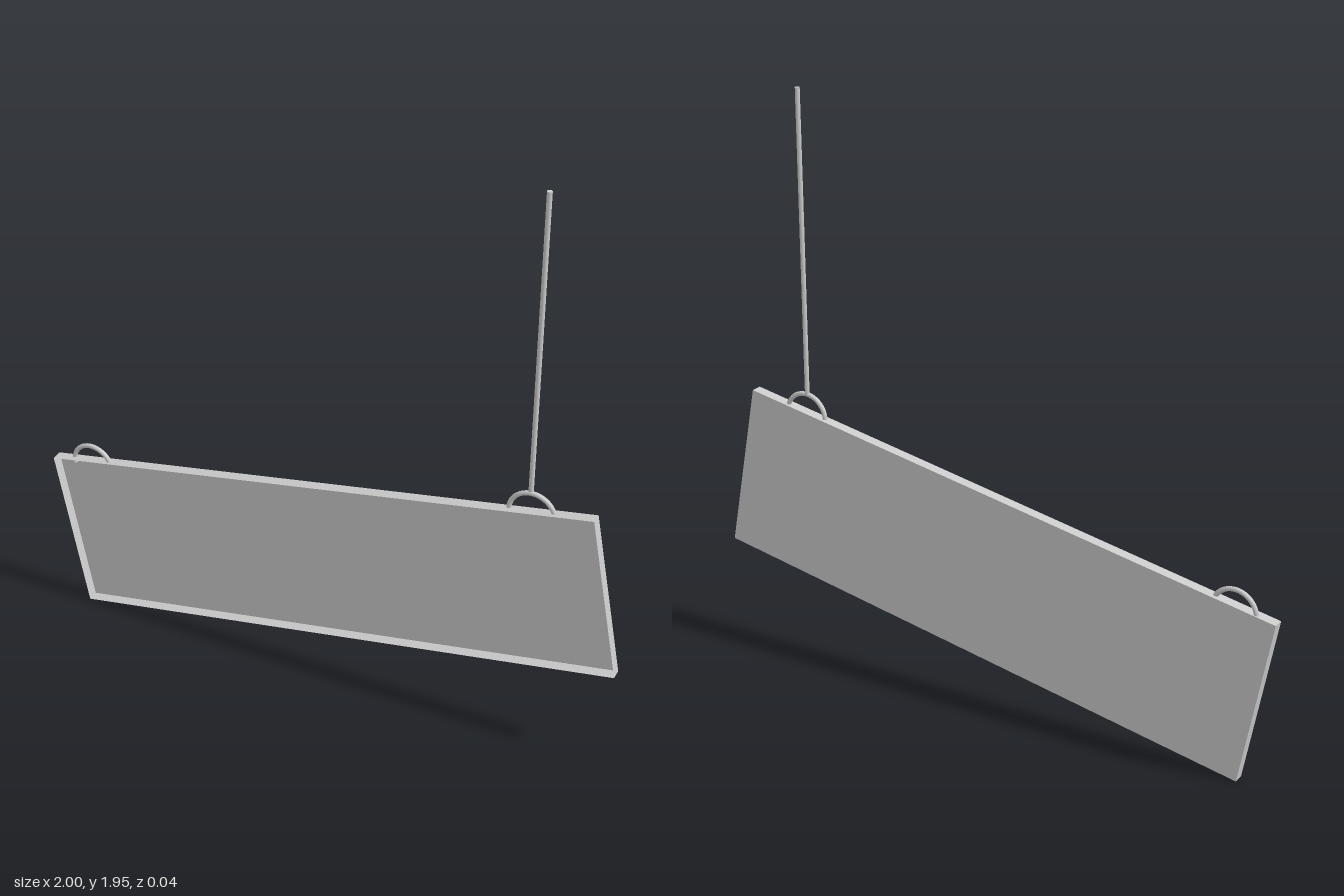
import * as THREE from 'three';

const TILT = 0.184;

export function createModel() {
  const model = new THREE.Group();
  const grey = new THREE.MeshStandardMaterial({ color: 0xcccccc, side: THREE.DoubleSide });

  function add(name, geometry, x, y, z) {
    const mesh = new THREE.Mesh(geometry, grey);
    mesh.name = name;
    mesh.position.set(x, y, z);
    model.add(mesh);
    return mesh;
  }

  // Tilted sign board: a shallow tray of thin walls, open at the front
  const tray = new THREE.BoxGeometry(1.927, 0.57, 0.037);
  const index = Array.from(tray.index.array);
  index.splice(24, 6); // drop the +z side
  tray.setIndex(index);
  tray.clearGroups();
  add('board', tray, 0, 0.457, 0).rotation.z = TILT;

  // Hanging loops: arcs of a thin ring standing on the top edge
  function addLoop(name, x, y, startDeg, endDeg, turn) {
    const start = THREE.MathUtils.degToRad(startDeg);
    const arc = THREE.MathUtils.degToRad(endDeg - startDeg);
    const ring = new THREE.TorusGeometry(0.075, 0.008, 8, 20, arc);
    ring.rotateZ(start);
    add(name, ring, x, y, -0.003).rotation.y = turn;
  }
  addLoop('rightLoop', -0.857, 0.562, 28, 189, -0.06);
  addLoop('leftLoop', 0.692, 0.862, 20, 178, -0.02);

  // Upright rod holding the raised end
  add('rod', new THREE.CylinderGeometry(0.008, 0.008, 1.012, 10), 0.684, 1.444, -0.006);

  return model;
}
